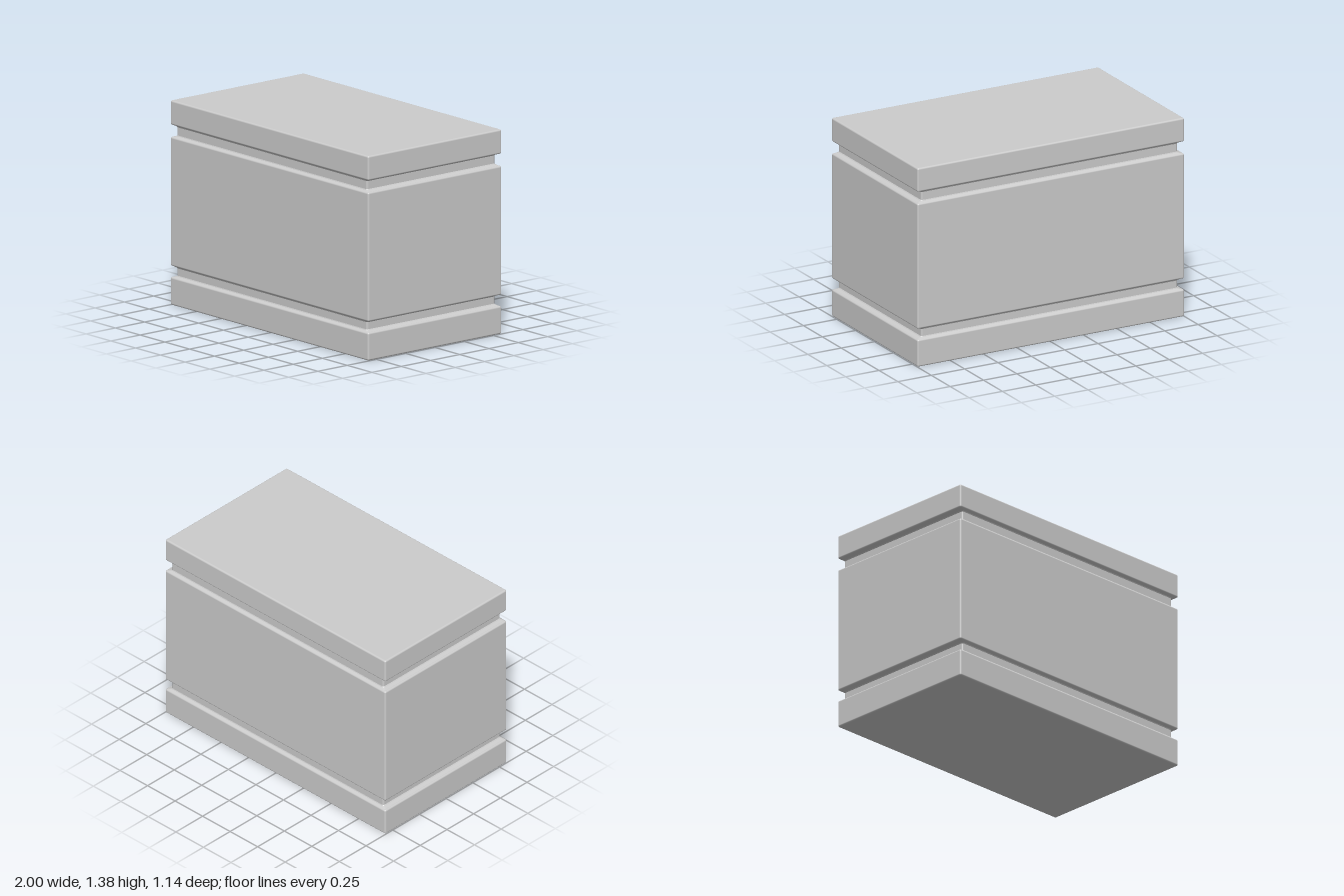
import * as THREE from 'three';
import { RoundedBoxGeometry } from 'three/addons/geometries/RoundedBoxGeometry.js';

const HALF_X = 1, HALF_Z = 0.57, BEVEL = 0.012;

// Outline of a rounded rectangle at height y, counter-clockwise seen from above
function ring(hx, hz, y, r = 0.012, steps = 3) {
  const points = [];
  const corners = [[1, 1], [-1, 1], [-1, -1], [1, -1]];
  corners.forEach(([sx, sz], c) => {
    for (let i = 0; i <= steps; i++) {
      const a = (c + i / steps) * Math.PI / 2;
      points.push([sx * (hx - r) + r * Math.cos(a), y, sz * (hz - r) + r * Math.sin(a)]);
    }
  });
  return points;
}

// Skin a stack of rings, from bottom to top
function loft(rings) {
  const n = rings[0].length, index = [];
  for (let j = 0; j < rings.length - 1; j++) {
    for (let i = 0; i < n; i++) {
      const a = j * n + i, b = j * n + (i + 1) % n;
      index.push(a, a + n, b, b, a + n, b + n);
    }
  }
  const geometry = new THREE.BufferGeometry();
  geometry.setAttribute('position', new THREE.Float32BufferAttribute(rings.flat(2), 3));
  geometry.setIndex(index);
  const faceted = geometry.toNonIndexed();
  faceted.computeVertexNormals();
  return faceted;
}

export function createModel() {
  const group = new THREE.Group();
  const material = new THREE.MeshStandardMaterial({ color: 0xcccccc });

  const add = (name, geometry) => {
    const mesh = new THREE.Mesh(geometry, material);
    mesh.name = name;
    group.add(mesh);
    return mesh;
  };

  // Full-width blocks with softened edges
  const block = (name, y0, y1) => {
    const geometry = new RoundedBoxGeometry(2 * HALF_X, y1 - y0, 2 * HALF_Z, 3, BEVEL);
    add(name, geometry).position.y = (y0 + y1) / 2;
  };

  // Recessed bands whose ends flare out to meet the blocks
  const neck = (name, y0, y1) => {
    const flare = 0.01, hx = 0.96, hz = 0.547;
    add(name, loft([
      ring(0.99, 0.562, y0 - 0.001),
      ring(hx + 0.005, hz + 0.003, y0 + flare * 0.7),
      ring(hx, hz, y0 + flare * 1.3),
      ring(hx, hz, y1 - flare * 1.3),
      ring(hx + 0.005, hz + 0.003, y1 - flare * 0.7),
      ring(0.99, 0.562, y1 + 0.001),
    ]));
  };

  block('base', 0, 0.188);
  neck('lowerGroove', 0.188, 0.262);
  block('body', 0.262, 1.13);
  neck('upperGroove', 1.13, 1.21);
  block('lid', 1.21, 1.375);

  return group;
}
